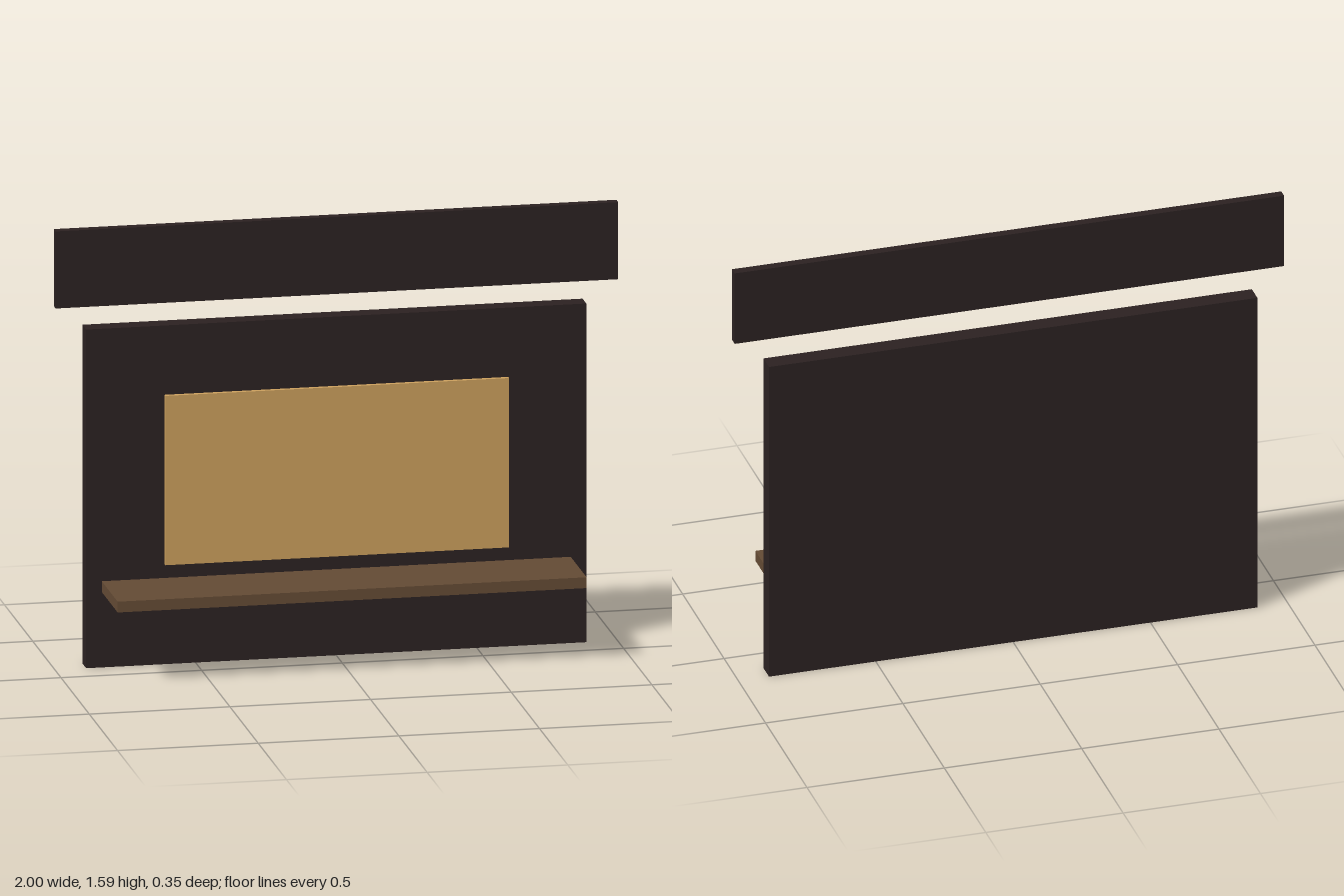
import * as THREE from 'three';

export function createModel() {
  const group = new THREE.Group();
  const material = (name, color) => {
    const m = new THREE.MeshStandardMaterial({ color });
    m.name = name;
    return m;
  };
  const darkWood = material('dark wood', 0x2b2121);
  const brownWood = material('brown wood', 0x634a34);
  const amber = material('amber', 0xc99e5c);

  // Box centred on x, given its width and its y and z extents
  function board(name, mat, width, [y0, y1], [z0, z1]) {
    const mesh = new THREE.Mesh(new THREE.BoxGeometry(width, y1 - y0, z1 - z0), mat);
    mesh.name = name;
    mesh.position.set(0, (y0 + y1) / 2, (z0 + z1) / 2);
    group.add(mesh);
  }

  // Wall with a lit window and a counter below it
  board('wallPanel', darkWood, 1.778, [0, 1.222], [-0.174, -0.107]);
  board('window', amber, 1.222, [0.361, 0.972], [-0.115, -0.091]);
  board('counterShelf', brownWood, 1.667, [0.272, 0.311], [-0.11, 0.174]);

  // Blank sign board floating above the wall
  board('signBoard', darkWood, 2, [1.307, 1.585], [-0.128, -0.095]);

  return group;
}
